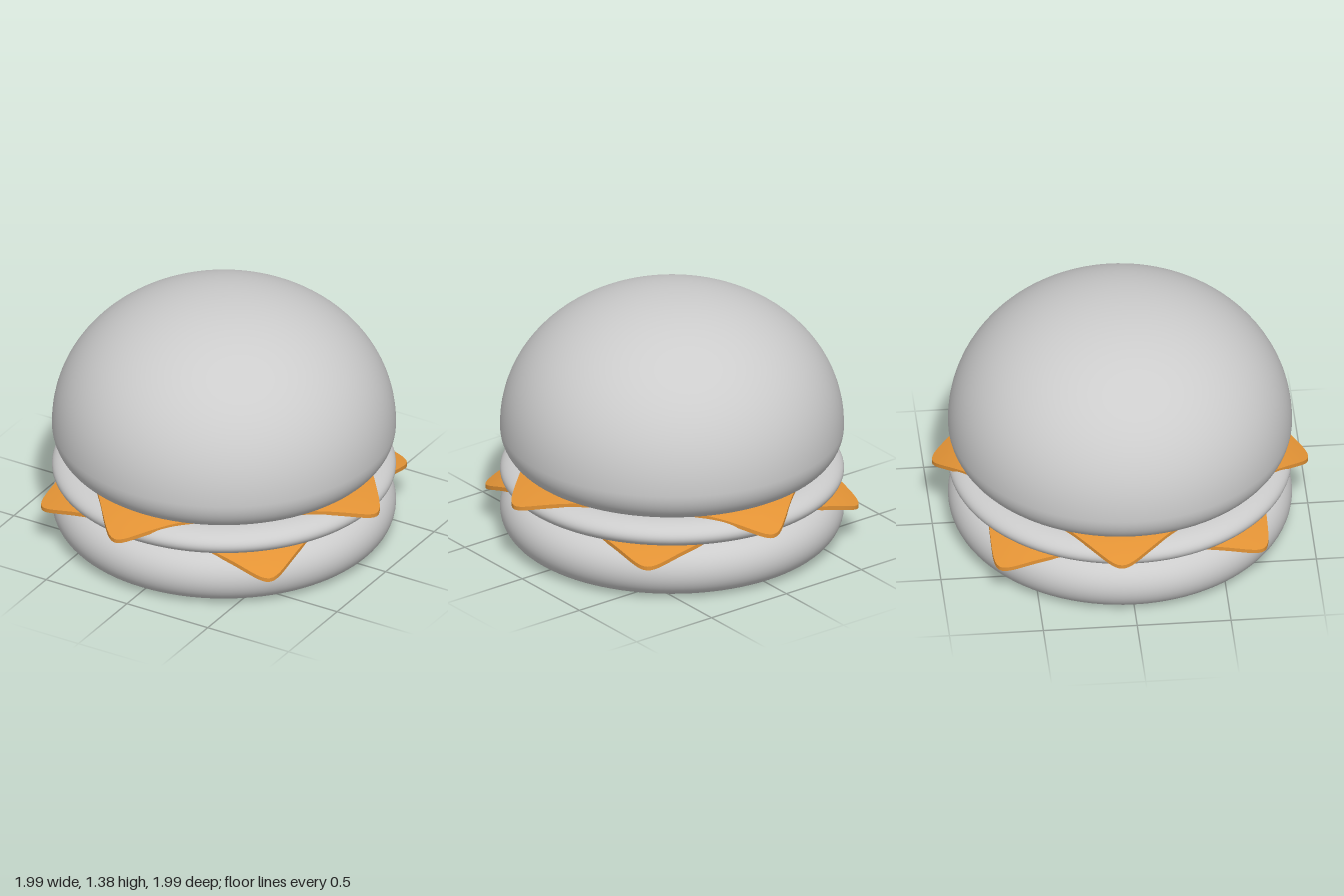
import * as THREE from 'three';

const R = 0.913; // shared outer radius of the buns and patty

// Quarter of a superellipse, from angle a0 to a1, centred on (cx, cy)
function arc(cx, cy, rx, ry, a0, a1, n, power = 2) {
  const pts = [];
  for (let i = 0; i <= n; i++) {
    const a = a0 + (a1 - a0) * i / n;
    const c = Math.cos(a), s = Math.sin(a);
    const bend = (v) => Math.sign(v) * Math.pow(Math.abs(v), 2 / power);
    pts.push(new THREE.Vector2(Math.max(0, cx + rx * bend(c)), cy + ry * bend(s)));
  }
  return pts;
}

// Flat disc with a fully rounded rim
function roundedDisc(y0, y1, rimWidth) {
  const mid = (y0 + y1) / 2, h = (y1 - y0) / 2;
  return new THREE.LatheGeometry([
    new THREE.Vector2(0, y0),
    ...arc(R - rimWidth, mid, rimWidth, h, -Math.PI / 2, Math.PI / 2, 24),
    new THREE.Vector2(0, y1),
  ], 96);
}

// Thin square slice with rounded corners that droop past the rim
function cheeseSlice() {
  const half = 0.737, thick = 0.022, n = 16;
  const g = new THREE.BoxGeometry(2, thick, 2, 48, 1, 48);
  const p = g.attributes.position;
  for (let i = 0; i < p.count; i++) {
    const u = p.getX(i), v = p.getZ(i);
    const s = Math.max(Math.abs(u), Math.abs(v));
    const norm = Math.pow(Math.pow(Math.abs(u), n) + Math.pow(Math.abs(v), n), 1 / n);
    const k = s > 0 ? half * s / norm : half;
    const x = u * k, z = v * k, r = Math.hypot(x, z);
    const depth = 0.083 + 0.015 * Math.sin(2 * Math.atan2(z, x));
    const drop = depth * Math.pow(Math.max(0, (r - 0.77) / 0.23), 1.35);
    p.setXYZ(i, x, p.getY(i) - drop, z);
  }
  g.computeVertexNormals();
  return g;
}

export function createModel() {
  const model = new THREE.Group();
  model.name = 'burger';
  const grey = new THREE.MeshStandardMaterial({ color: 0xcccccc });
  grey.name = 'plain grey';
  const orange = new THREE.MeshStandardMaterial({ color: 0xe39335 });
  orange.name = 'cheese orange';

  const add = (name, geometry, material) => {
    const mesh = new THREE.Mesh(geometry, material);
    mesh.name = name;
    model.add(mesh);
    return mesh;
  };

  // Bottom bun and patty
  add('bottomBun', roundedDisc(0, 0.3, 0.15), grey);
  add('patty', roundedDisc(0.298, 0.44, 0.13), grey);

  // Domed top bun with a tucked-in base
  const baseY = 0.62;
  const dome = [
    new THREE.Vector2(0, 0.438),
    ...arc(R - 0.17, baseY, 0.17, baseY - 0.438, -Math.PI / 2, 0, 14),
    ...arc(0, baseY, R, 0.76, 0, Math.PI / 2, 40, 2.08).slice(1),
  ];
  add('topBun', new THREE.LatheGeometry(dome, 96), grey);

  // Two cheese slices, the upper one turned corner-forward
  const slice = cheeseSlice();
  add('lowerCheese', slice, orange).position.y = 0.304;
  const upper = add('upperCheese', slice, orange);
  upper.position.y = 0.455;
  upper.rotation.y = THREE.MathUtils.degToRad(-49.6);

  return model;
}
